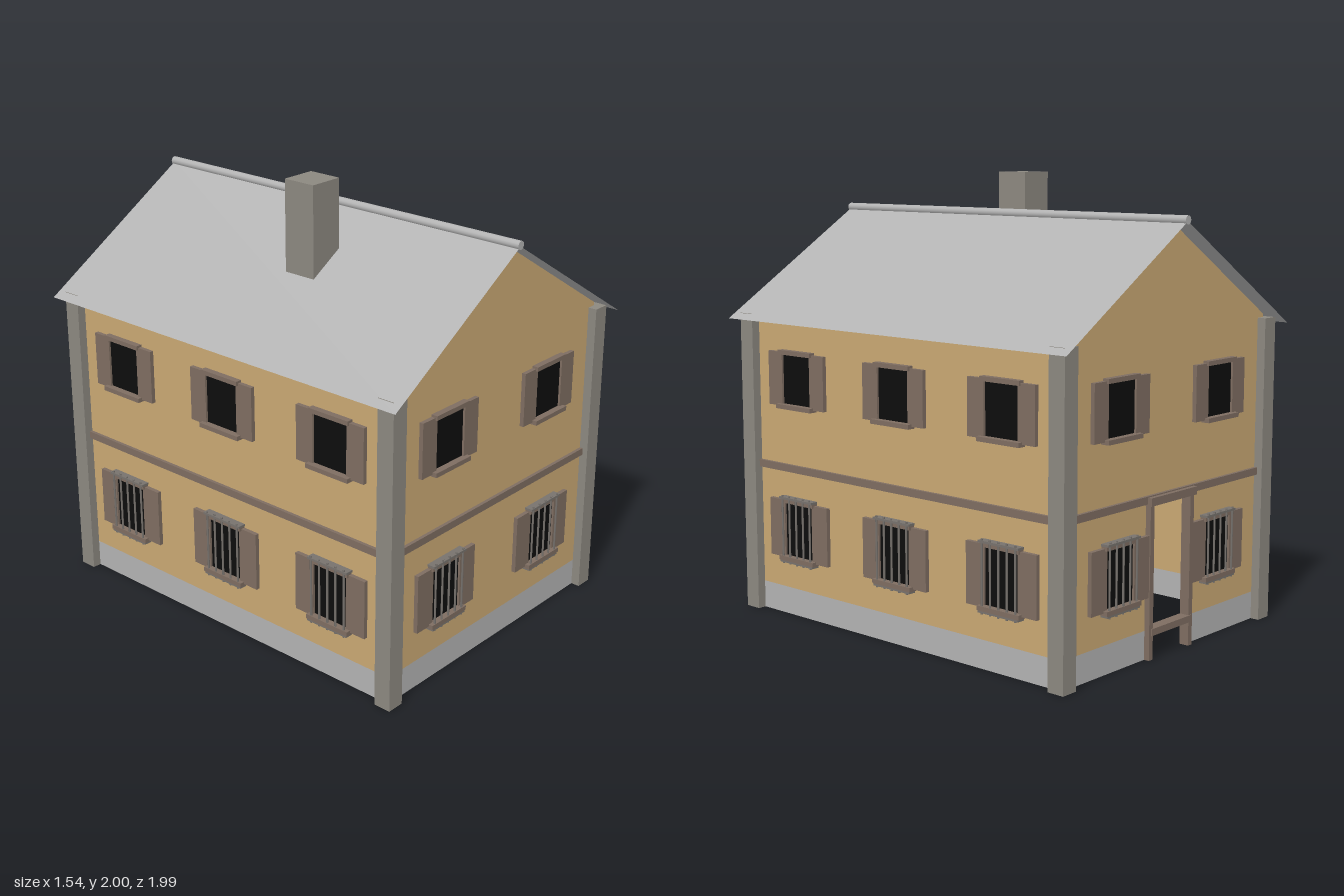
import * as THREE from 'three';

const mat = (name, color, side = THREE.FrontSide) => {
  const m = new THREE.MeshStandardMaterial({ color, side });
  m.name = name;
  return m;
};

export function createModel() {
  const plaster = mat('ochre plaster', 0xc9a873, THREE.DoubleSide);
  const slate = mat('light grey', 0xb2b2b2, THREE.DoubleSide);
  const stone = mat('pillar stone', 0x8c8880);
  const wood = mat('brown wood', 0x7e6d61);
  const iron = mat('iron bars', 0x77726d);
  const glass = mat('dark glass', 0x0d0d0d);

  const house = new THREE.Group();
  house.name = 'house';

  const add = (parent, name, geometry, material, x = 0, y = 0, z = 0) => {
    const m = new THREE.Mesh(geometry, material);
    m.name = name;
    m.position.set(x, y, z);
    parent.add(m);
    return m;
  };
  // Box given by its extents on x, y and z
  const box = (parent, name, material, x0, x1, y0, y1, z0, z1) =>
    add(parent, name, new THREE.BoxGeometry(x1 - x0, y1 - y0, z1 - z0), material,
      (x0 + x1) / 2, (y0 + y1) / 2, (z0 + z1) / 2);
  const flat = (points) =>
    new THREE.ShapeGeometry(new THREE.Shape(points.map(([x, y]) => new THREE.Vector2(x, y))));

  const W = 0.69, D = 0.915, BASE = 0.125, EAVE = 1.386, PEAK = 1.815;
  const DOOR = 0.13, DOOR_TOP = 0.665;

  // Gable walls; the back one is notched for the doorway
  const roofline = [[W, EAVE], [0, PEAK], [-W, EAVE], [-W, BASE]];
  add(house, 'frontWall', flat([[W, BASE], ...roofline]), plaster, 0, 0, D);
  add(house, 'frontBase', flat([[-W, 0], [W, 0], [W, BASE], [-W, BASE]]), slate, 0, 0, D);
  const backWall = flat([[DOOR, BASE], [W, BASE], ...roofline,
    [-DOOR, BASE], [-DOOR, DOOR_TOP], [DOOR, DOOR_TOP]]);
  add(house, 'backWall', backWall, plaster, 0, 0, -D).rotation.y = Math.PI;
  for (const s of [-1, 1]) {
    const a = s * DOOR, b = s * W;
    add(house, 'backBase', flat([[a, 0], [b, 0], [b, BASE], [a, BASE]]), slate, 0, 0, -D)
      .rotation.y = Math.PI;
  }

  // Long side walls with their bases
  for (const s of [-1, 1]) {
    const upper = add(house, 'sideWall', new THREE.PlaneGeometry(2 * D, EAVE - BASE), plaster,
      s * W, (EAVE + BASE) / 2, 0);
    const lower = add(house, 'sideBase', new THREE.PlaneGeometry(2 * D, BASE), slate,
      s * W, BASE / 2, 0);
    upper.rotation.y = lower.rotation.y = s * Math.PI / 2;
  }

  // Upper floor slab, whose rim forms the band around the house
  box(house, 'floorSlab', wood, -0.705, 0.705, 0.667, 0.7, -0.93, 0.93);

  // Corner pillars
  for (const x of [-W, W]) for (const z of [-D, D])
    box(house, 'cornerPillar', stone, x - 0.04, x + 0.04, 0, 1.37, z - 0.04, z + 0.04);

  // Roof sheets, ridge and chimney
  const run = 0.768, drop = 0.475, slope = Math.hypot(run, drop);
  for (const s of [-1, 1]) {
    const sheet = new THREE.PlaneGeometry(slope, 1.986).rotateX(-Math.PI / 2);
    add(house, 'roofSheet', sheet, slate, s * run / 2, 1.82 - drop / 2, 0)
      .rotation.z = -s * Math.atan2(drop, run);
  }
  add(house, 'roofRidge', new THREE.CylinderGeometry(0.019, 0.019, 1.99, 12).rotateX(Math.PI / 2),
    slate, 0, 1.825, 0);
  box(house, 'chimney', stone, -0.36, -0.2, 1.5, 2, 0.055, 0.212);

  // Window facing +z, with its origin at the wall
  const makeWindow = (barred) => {
    const g = new THREE.Group();
    g.name = barred ? 'barredWindow' : 'upperWindow';
    const [y0, y1] = barred ? [0.28, 0.525] : [0.977, 1.2];
    box(g, 'pane', glass, -0.09, 0.09, y0, y1, 0.003, 0.01);
    box(g, 'lintel', wood, -0.105, 0.105, y1, y1 + 0.02, 0.001, 0.03);
    box(g, 'sill', wood, -0.113, 0.113, y0 - 0.02, y0, 0.001, 0.04);
    const sw = barred ? 0.1 : 0.09;
    for (const s of [-1, 1]) {
      const c = s * (0.09 + sw / 2);
      box(g, 'shutter', wood, c - sw / 2, c + sw / 2, y0 - 0.01, y1 + 0.01, 0.001, 0.02);
    }
    if (barred) {
      for (let i = -2; i <= 2; i++)
        add(g, 'bar', new THREE.CylinderGeometry(0.005, 0.005, 0.315, 6), iron, i * 0.045, 0.403, 0.033);
      for (const y of [0.256, 0.548])
        box(g, 'crossBar', iron, -0.108, 0.108, y - 0.005, y + 0.005, 0.001, 0.038);
    }
    return g;
  };
  const placeWindows = (x, z, turn) => {
    for (const barred of [false, true]) {
      const w = makeWindow(barred);
      w.position.set(x, 0, z);
      w.rotation.y = turn;
      house.add(w);
    }
  };
  for (const x of [-0.343, 0.343]) {
    placeWindows(x, D, 0);
    placeWindows(x, -D, Math.PI);
  }
  for (const z of [-0.61, 0, 0.61]) {
    placeWindows(W, z, Math.PI / 2);
    placeWindows(-W, z, -Math.PI / 2);
  }

  // Door frame with a raised threshold
  for (const s of [-1, 1])
    box(house, 'doorJamb', wood, s * 0.14 - 0.013, s * 0.14 + 0.013, 0, 0.67, -0.94, -0.895);
  box(house, 'doorLintel', wood, -0.16, 0.16, 0.66, 0.695, -0.95, -0.895);
  box(house, 'doorThreshold', wood, -0.14, 0.14, 0.105, 0.135, -0.945, -0.895);

  return house;
}
